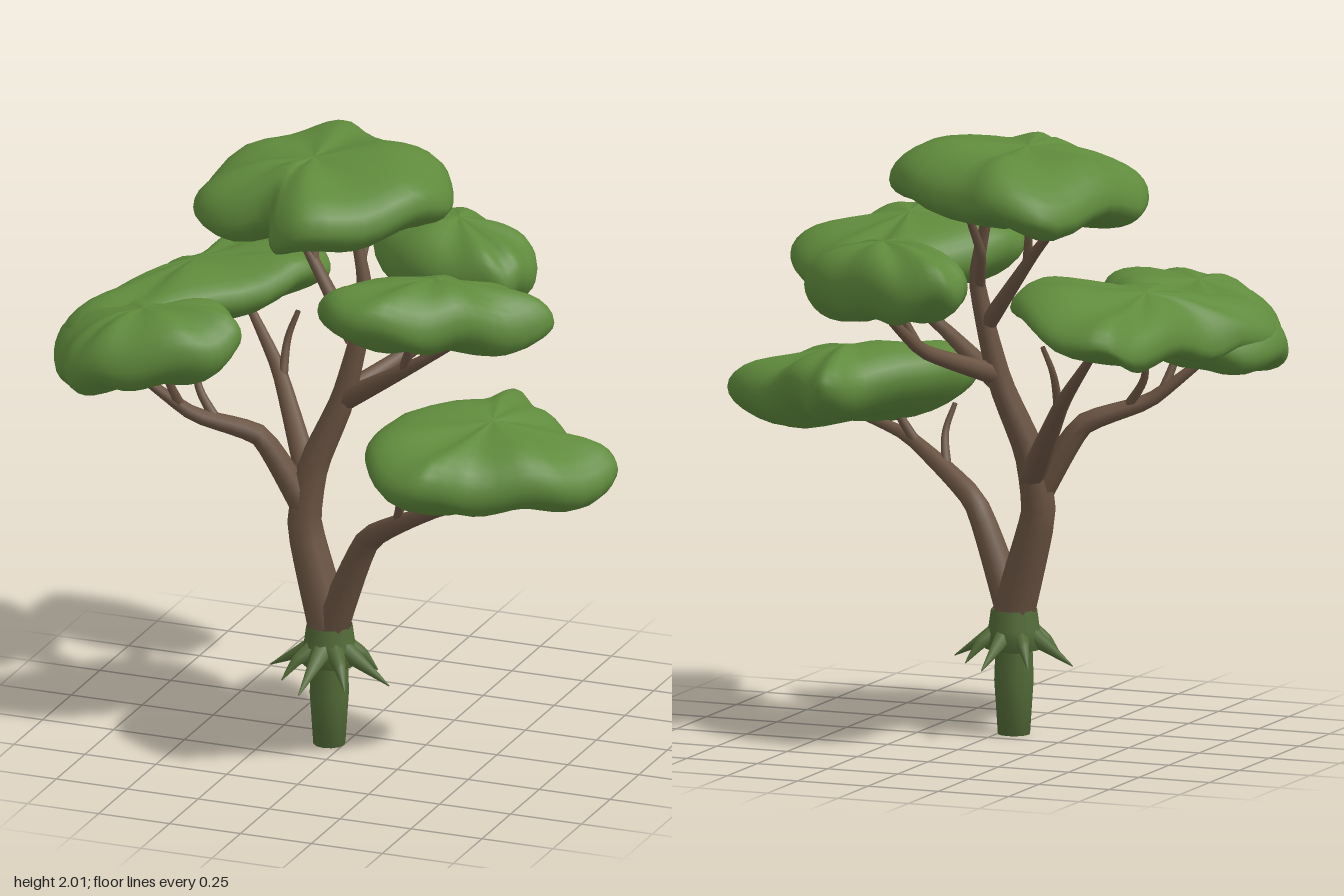
import * as THREE from 'three';

const mat = (name, color, side = THREE.FrontSide) => {
  const m = new THREE.MeshStandardMaterial({ color, side });
  m.name = name;
  return m;
};

// Tapered limb swept along a curve
function limbGeometry(curve, r0, r1, sides = 8) {
  const segs = curve.points.length * 4;
  const geo = new THREE.TubeGeometry(curve, segs, 1, sides);
  const pos = geo.attributes.position;
  const v = new THREE.Vector3();
  for (let k = 0; k < pos.count; k++) {
    const t = Math.floor(k / (sides + 1)) / segs;
    const c = curve.getPointAt(t);
    v.fromBufferAttribute(pos, k).sub(c).multiplyScalar(r0 + (r1 - r0) * t).add(c);
    pos.setXYZ(k, v.x, v.y, v.z);
  }
  return geo;
}

// Slightly kinked path
const path = (points) =>
  new THREE.CatmullRomCurve3(points.map((p) => new THREE.Vector3(...p)), false, 'catmullrom', 0.25);

// Flattened leafy cushion over a tilted rim; rim points [x, z] run left, front, right, back.
// A small bluntness gives a thick edge, a large one a thin edge.
function canopyGeometry(rim, y, slopeX, slopeZ, up, down, bluntness) {
  const N = 48, R = 16;
  const curve = new THREE.CatmullRomCurve3(rim.map(([x, z]) => new THREE.Vector3(x, y, z)), true);
  const outline = curve.getPoints(N).slice(0, N);
  const c = new THREE.Vector3();
  outline.forEach((p) => c.addScaledVector(p, 1 / N));
  outline.forEach((p, i) => {
    p.y += slopeX * (p.x - c.x) + slopeZ * (p.z - c.z) + 0.015 * Math.sin(i * 0.9 + 7 * c.x);
  });
  const pos = [], index = [];
  for (let i = 0; i <= R; i++) {
    const a = Math.PI * (0.5 - i / R);
    const r = Math.pow(Math.max(Math.cos(a), 0), bluntness);
    const h = Math.sin(a) * (a > 0 ? up : down);
    for (let j = 0; j < N; j++) {
      const p = outline[j].clone().lerp(c, 1 - r);
      const lump = 0.014 * Math.sin(12 * p.x + 2 * y) * Math.cos(13 * p.z + 9 * c.x);
      pos.push(p.x, p.y + h + lump, p.z);
      if (i < R) {
        const k = (j + 1) % N;
        const A = i * N + j, B = A + N, C = (i + 1) * N + k, D = i * N + k;
        index.push(A, B, C, A, C, D);
      }
    }
  }
  const geo = new THREE.BufferGeometry();
  geo.setAttribute('position', new THREE.Float32BufferAttribute(pos, 3));
  geo.setIndex(index);
  geo.computeVertexNormals();
  return geo;
}

export function createModel() {
  const model = new THREE.Group();
  model.name = 'tree';
  const leaf = mat('leafGreen', 0x5f8a3c);
  const bark = mat('barkBrown', 0x6a5342, THREE.DoubleSide);
  const root = mat('rootGreen', 0x526a37, THREE.DoubleSide);
  const add = (name, geo, material) => {
    const mesh = new THREE.Mesh(geo, material);
    mesh.name = name;
    model.add(mesh);
    return mesh;
  };

  // Tap root and flared collar
  const lathe = (pts) => new THREE.LatheGeometry(pts.map(([r, y]) => new THREE.Vector2(r, y)), 12);
  add('tapRoot', lathe([[0, 0], [0.053, 0], [0.065, 0.18], [0.06, 0.32]]), root).position.set(-0.05, 0, 0.1);
  add('rootCollar', lathe([[0.055, 0.275], [0.095, 0.285], [0.085, 0.35], [0.076, 0.415]]), root).position.set(-0.05, 0, 0.1);

  // Root spikes around the collar, long and short in turn
  for (let i = 0; i < 8; i++) {
    const a = (i / 8) * Math.PI * 2 + 0.1;
    const at = (r, y) => [-0.045 + r * Math.cos(a), y, 0.11 + r * Math.sin(a)];
    const spike = path([at(0.05, 0.34), at(0.11, 0.305), at(i % 2 ? 0.165 : 0.22, 0.24)]);
    add('rootSpike', limbGeometry(spike, 0.036, 0.002, 6), root);
  }

  // Bough with twigs rising on alternate sides
  const bough = (name, points, r0, twigs) => {
    const curve = path(points);
    add(name, limbGeometry(curve, r0, 0.012), bark);
    for (let i = 0; i < twigs; i++) {
      const t = 0.56 + 0.17 * i;
      const start = curve.getPointAt(t);
      const dir = curve.getTangentAt(t);
      const side = new THREE.Vector3(-dir.z, 0, dir.x).multiplyScalar(i % 2 ? -0.1 : 0.1);
      const end = start.clone().add(side).addScaledVector(dir, 0.06);
      end.y += 0.18;
      const middle = start.clone().lerp(end, 0.5).addScaledVector(dir, 0.03);
      add('twig', limbGeometry(new THREE.CatmullRomCurve3([start, middle, end]), 0.018, 0.009, 6), bark);
    }
  };

  // Trunk and main boughs
  const trunk = path([[-0.05, 0.41, 0.1], [-0.145, 0.74, 0.08], [-0.12, 0.95, 0.06],
    [-0.03, 1.18, 0.03], [0.04, 1.52, 0], [-0.02, 1.78, -0.03]]);
  add('trunk', limbGeometry(trunk, 0.075, 0.016), bark);
  bough('rightBough', [[-0.04, 0.41, 0.11], [0.11, 0.75, 0.15], [0.4, 0.93, 0.27], [0.6, 0.99, 0.3]], 0.06, 3);
  bough('leftFrontBough', [[-0.14, 0.8, 0.08], [-0.29, 1.04, 0.11], [-0.49, 1.12, 0.2], [-0.68, 1.28, 0.28]], 0.05, 2);
  bough('leftBackBough', [[-0.13, 0.86, 0.06], [-0.34, 1.16, -0.18], [-0.5, 1.36, -0.28]], 0.045, 1);
  bough('backBough', [[-0.02, 1.2, 0.03], [0.14, 1.31, -0.22], [0.24, 1.5, -0.4]], 0.036, 1);
  bough('frontBough', [[-0.02, 1.18, 0.03], [0.19, 1.32, 0.1], [0.4, 1.46, 0.13]], 0.038, 2);
  bough('upperLeftBough', [[0, 1.38, 0.01], [-0.2, 1.63, -0.09], [-0.32, 1.76, -0.15]], 0.03, 1);
  bough('upperBackBough', [[0.03, 1.5, 0], [-0.01, 1.62, -0.08], [0, 1.78, -0.18]], 0.02, 0);

  // Leaf canopies: rim, height, slopes, rise above the rim, drop below it, bluntness
  add('topCanopy', canopyGeometry([[-0.54, 0.02], [-0.5, 0.16], [-0.37, 0.22], [-0.22, 0.21], [-0.17, 0.32],
    [-0.05, 0.36], [0.11, 0.25], [0.25, 0.07], [0.3, -0.1], [0.19, -0.3], [-0.08, -0.45], [-0.22, -0.52],
    [-0.4, -0.49], [-0.5, -0.2]], 1.835, 0.08, -0.02, 0.15, 0.1, 0.6), leaf);
  add('leftFrontCanopy', canopyGeometry([[-0.95, 0.25], [-0.86, 0.44], [-0.78, 0.54], [-0.62, 0.55], [-0.38, 0.46],
    [-0.28, 0.32], [-0.33, 0.21], [-0.5, 0.08], [-0.84, 0.02]], 1.37, 0.2, 0, 0.14, 0.12, 0.7), leaf);
  add('leftBackCanopy', canopyGeometry([[-0.88, 0.06], [-0.93, 0.26], [-0.76, 0.38], [-0.55, 0.18], [-0.26, -0.1],
    [-0.2, -0.28], [-0.4, -0.52], [-0.62, -0.58], [-0.72, -0.44], [-0.79, -0.12]], 1.42, 0.24, 0.03, 0.11, 0.08, 0.7), leaf);
  add('backCanopy', canopyGeometry([[-0.12, -0.46], [0.04, -0.24], [0.27, -0.19], [0.42, -0.22], [0.47, -0.3],
    [0.46, -0.45], [0.3, -0.54], [0.08, -0.61], [-0.08, -0.58]], 1.56, -0.03, -0.03, 0.13, 0.125, 0.65), leaf);
  add('frontCanopy', canopyGeometry([[0.02, 0.24], [0.03, 0.4], [0.2, 0.52], [0.4, 0.42], [0.56, 0.24],
    [0.72, 0.05], [0.58, -0.1], [0.4, -0.16], [0.24, -0.08]], 1.56, -0.03, 0.17, 0.13, 0.11, 0.7), leaf);
  add('rightCanopy', canopyGeometry([[0.19, 0.27], [0.24, 0.49], [0.43, 0.6], [0.6, 0.47], [0.84, 0.33],
    [0.96, 0.08], [0.8, 0], [0.64, -0.1], [0.5, -0.22], [0.4, -0.06]], 1.11, -0.13, -0.09, 0.125, 0.13, 0.7), leaf);

  return model;
}
